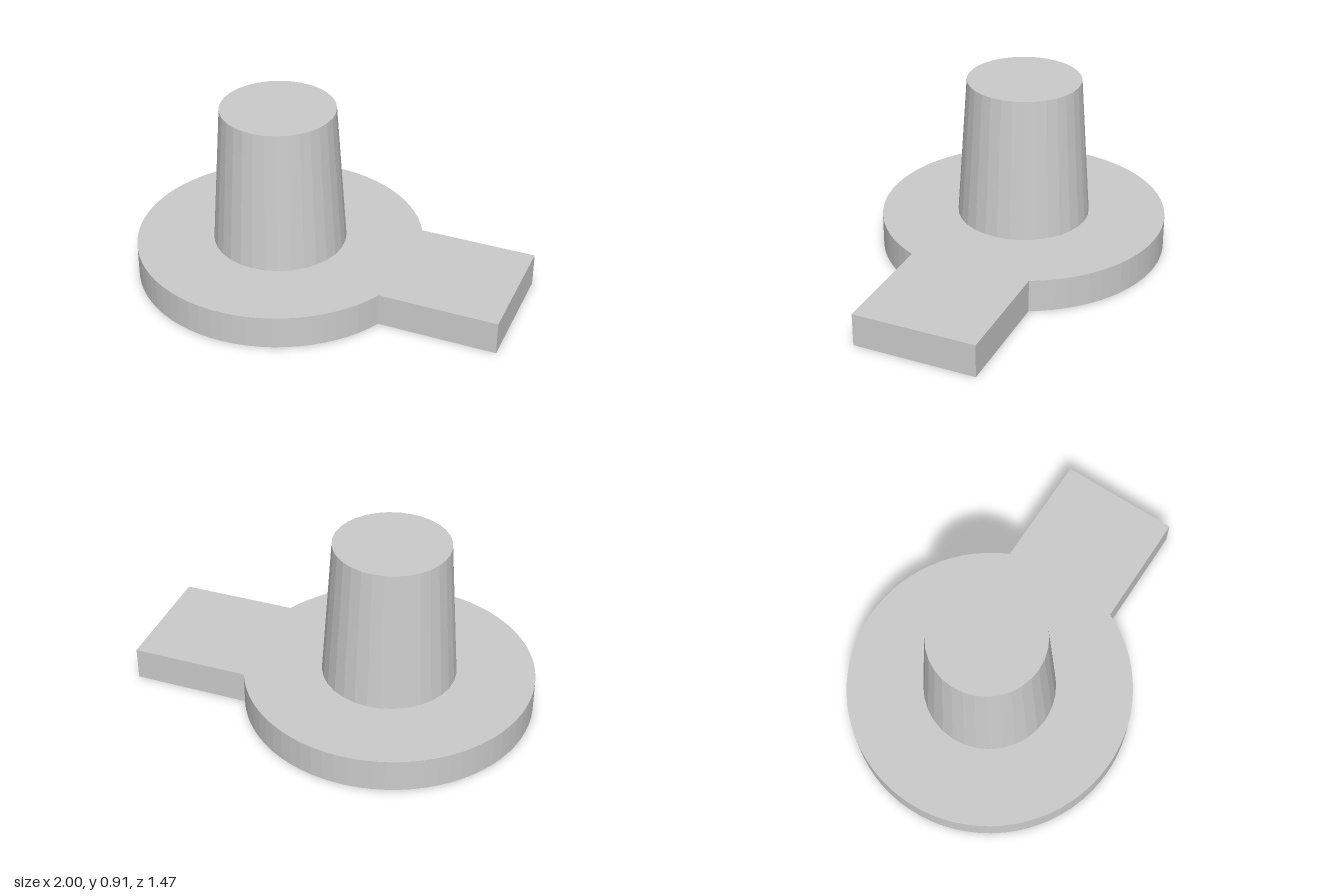
import * as THREE from 'three';

export function createModel() {
  const model = new THREE.Group();
  const material = new THREE.MeshStandardMaterial({ color: 0xcccccc, flatShading: true });

  const centreX = -0.265;
  const discRadius = 0.735;
  const tabHalfWidth = 0.314;
  const baseHeight = 0.17;
  const pegHeight = 0.735;

  // Base plate: a disc whose outline runs straight into a rectangular tab
  const joinAngle = Math.asin(tabHalfWidth / discRadius);
  const outline = new THREE.Shape();
  outline.absarc(centreX, 0, discRadius, joinAngle, 2 * Math.PI - joinAngle, false);
  outline.lineTo(1, -tabHalfWidth);
  outline.lineTo(1, tabHalfWidth);
  outline.closePath();
  const baseGeometry = new THREE.ExtrudeGeometry(outline, {
    depth: baseHeight, bevelEnabled: false, curveSegments: 32,
  });
  baseGeometry.rotateX(-Math.PI / 2);
  const base = new THREE.Mesh(baseGeometry, material);
  base.name = 'basePlate';
  model.add(base);

  // Tapered peg standing on the middle of the disc
  const peg = new THREE.Mesh(new THREE.CylinderGeometry(0.29, 0.341, pegHeight, 32), material);
  peg.name = 'taperedPeg';
  peg.position.set(centreX, baseHeight + pegHeight / 2, 0);
  model.add(peg);

  return model;
}
